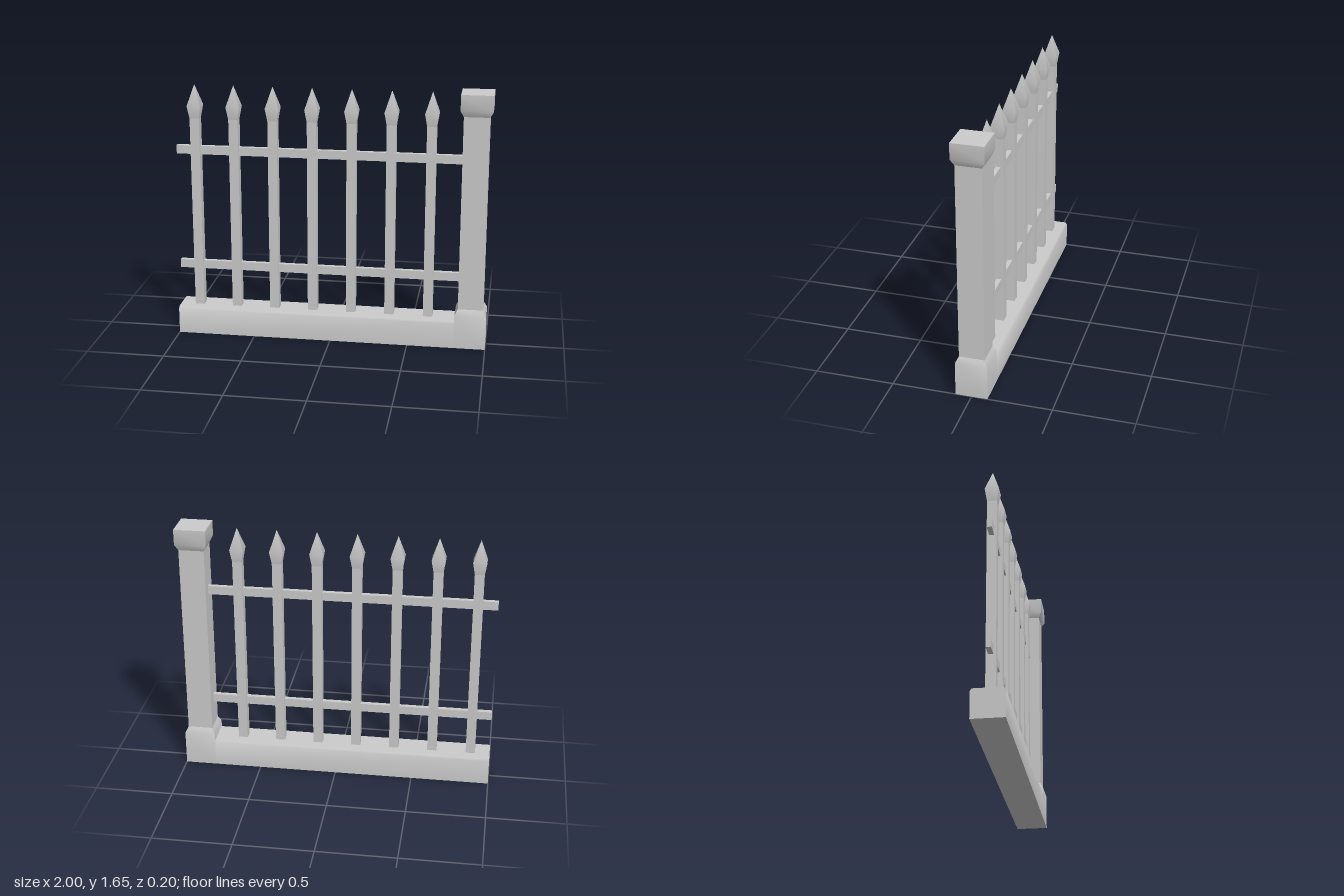
import * as THREE from 'three';
import { toCreasedNormals } from 'three/addons/utils/BufferGeometryUtils.js';

const material = new THREE.MeshStandardMaterial({ color: 0xcccccc });
const CREASE = 0.8;

// Square-section turned solid: profile is a list of [halfWidth, y] from bottom to top.
function squareLathe(profile) {
  const points = profile.map(([h, y]) => new THREE.Vector2(h * Math.SQRT2, y));
  return toCreasedNormals(new THREE.LatheGeometry(points, 4, Math.PI / 4), CREASE);
}

function add(parent, name, geometry, x = 0, y = 0, z = 0) {
  const mesh = new THREE.Mesh(geometry, material);
  mesh.name = name;
  mesh.position.set(x, y, z);
  parent.add(mesh);
  return mesh;
}

export function createModel() {
  const model = new THREE.Group();
  model.name = 'fenceSection';

  // Low base wall with chamfered top edges, running up to the post
  const section = new THREE.Shape([
    [-0.1, 0], [0.1, 0], [0.1, 0.165], [0.09, 0.18], [-0.09, 0.18], [-0.1, 0.165],
  ].map(([z, y]) => new THREE.Vector2(z, y)));
  const wall = new THREE.ExtrudeGeometry(section, { depth: 1.8, bevelEnabled: false });
  wall.rotateY(Math.PI / 2);
  add(model, 'baseWall', toCreasedNormals(wall, CREASE), -1);

  // Post with a flared foot and cap
  const post = new THREE.Group();
  post.name = 'post';
  post.position.x = 0.9;
  add(post, 'postFoot', squareLathe([[0, 0], [0.1, 0], [0.1, 0.22], [0.08, 0.26]]));
  add(post, 'postShaft', squareLathe([[0.08, 0.26], [0.08, 1.51]]));
  add(post, 'postCap', squareLathe([[0.08, 1.51], [0.1, 1.55], [0.1, 1.65], [0, 1.65]]));
  model.add(post);

  // Horizontal rails, ending in the post
  const railGeometry = new THREE.BoxGeometry(1.82, 0.055, 0.03);
  for (const [name, y] of [['lowerRail', 0.4525], ['upperRail', 1.2225]]) {
    add(model, name, railGeometry, -0.09, y);
  }

  // Pickets with spear heads
  const shaftGeometry = squareLathe([[0.03, 0.18], [0.03, 1.43]]);
  const headGeometry = squareLathe([[0.03, 1.43], [0.043, 1.51], [0, 1.645]]);
  for (let i = 0; i < 7; i++) {
    const picket = new THREE.Group();
    picket.name = `picket${i + 1}`;
    picket.position.x = -0.875 + 0.25 * i;
    add(picket, 'picketShaft', shaftGeometry);
    add(picket, 'spearHead', headGeometry);
    model.add(picket);
  }

  return model;
}
